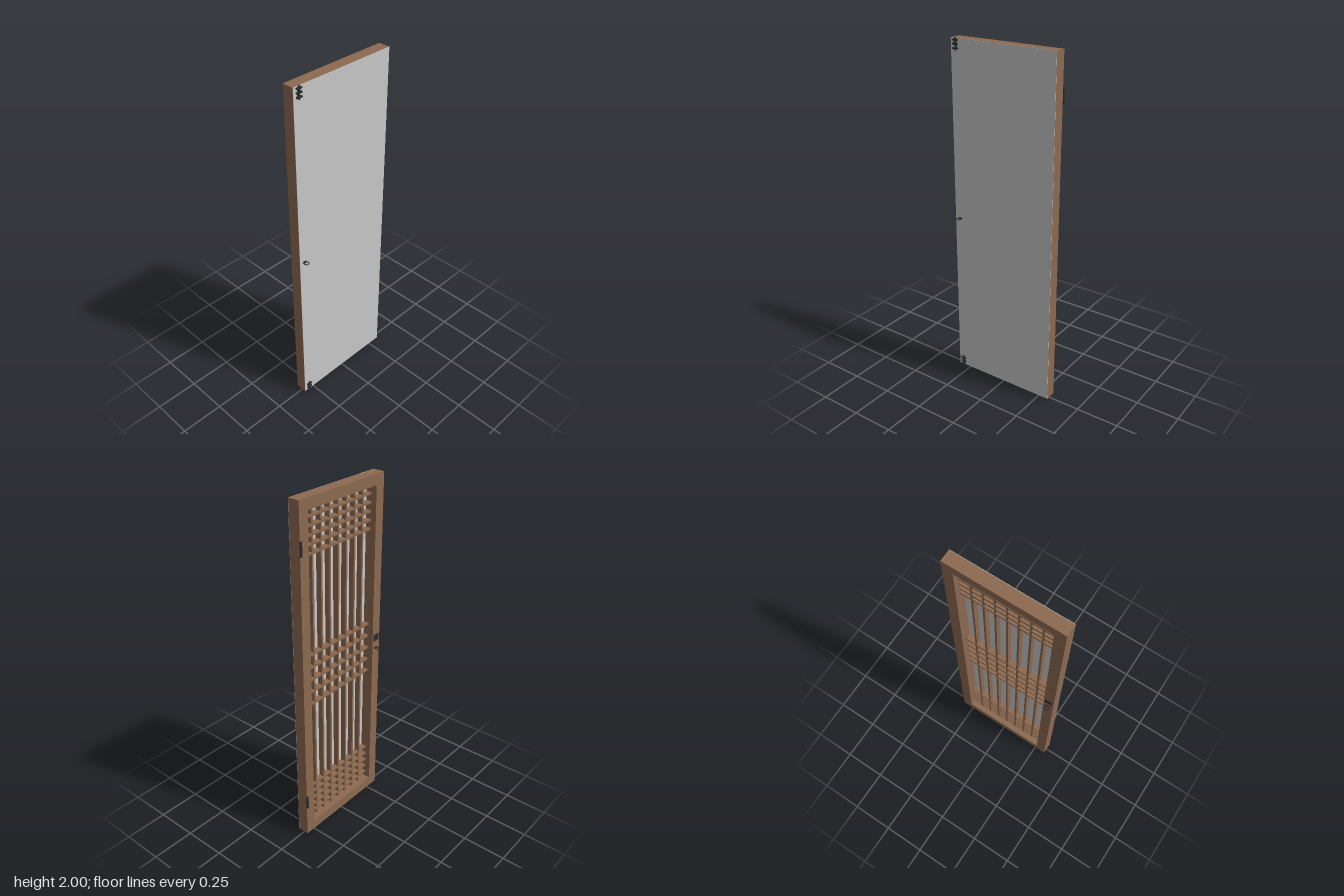
import * as THREE from 'three';

export function createModel() {
  const model = new THREE.Group();
  const mat = (name, color) => {
    const m = new THREE.MeshStandardMaterial({ color });
    m.name = name;
    return m;
  };
  const wood = mat('wood', 0x8c6a50);
  const paper = mat('paper', 0xc8c8c8);
  const iron = mat('dark iron', 0x2b3032);

  const add = (name, geo, material, x, y, z, parent = model) => {
    const mesh = new THREE.Mesh(geo, material);
    mesh.name = name;
    mesh.position.set(x, y, z);
    parent.add(mesh);
    return mesh;
  };
  // box given by its limits on each axis
  const span = (name, material, [x0, x1], [y0, y1], [z0, z1], parent) =>
    add(name, new THREE.BoxGeometry(x1 - x0, y1 - y0, z1 - z0), material,
      (x0 + x1) / 2, (y0 + y1) / 2, (z0 + z1) / 2, parent);

  const B = 0.012, T = 1.997, Z0 = -0.317, Z1 = 0.321, F = 0.06;
  const X0 = -0.034, X1 = 0.031;

  // frame: two stiles and two rails
  span('hingeStile', wood, [X0, X1], [B, T], [Z0, Z0 + F]);
  span('latchStile', wood, [X0, X1], [B, T], [Z1 - F, Z1]);
  span('bottomRail', wood, [X0, X1], [B, B + F], [Z0 + F, Z1 - F]);
  span('topRail', wood, [X0, X1], [T - F, T], [Z0 + F, Z1 - F]);

  // paper sheet covering one whole side
  span('paperSheet', paper, [X1, X1 + 0.002], [B, T], [Z0, Z1]);

  // lattice: seven uprights and three bands of crossbars
  const lattice = new THREE.Group();
  lattice.name = 'lattice';
  model.add(lattice);
  const w = 0.006, inner = Z1 - Z0 - 2 * F;
  for (let i = 1; i <= 7; i++) {
    const z = Z0 + F + (inner * i) / 8;
    span('upright', wood, [0, X1], [B + F, T - F], [z - w, z + w], lattice);
  }
  for (const [low, high] of [[0.106, 0.296], [0.845, 1.145], [1.7, 1.89]]) {
    for (let i = 0; i < 5; i++) {
      const y = low + ((high - low) * i) / 4;
      span('crossbar', wood, [-0.002, X1], [y - w, y + w], [Z0 + F, Z1 - F], lattice);
    }
  }

  // hinge barrels with end caps
  for (const y of [0.248, 1.765]) {
    add('hingeBarrel', new THREE.CylinderGeometry(0.006, 0.006, 0.076, 16), iron, -0.041, y, Z0);
    for (const s of [-1, 1]) {
      add('hingeCap', new THREE.CylinderGeometry(0.007, 0.007, 0.006, 16), iron, -0.041, y + s * 0.035, Z0);
    }
  }

  // ring pulls on both sides
  for (const s of [-1, 1]) {
    const pull = new THREE.Group();
    pull.name = 'ringPull';
    pull.position.set(s * 0.033, 0.995, 0.289);
    model.add(pull);
    const boss = add('pullBoss', new THREE.CylinderGeometry(0.007, 0.014, 0.008, 16), iron, s * 0.004, 0, 0, pull);
    boss.rotation.z = -s * Math.PI / 2;
    boss.scale.z = 1;
    boss.scale.x = 0.5;
    const ring = add('pullRing', new THREE.TorusGeometry(0.0125, 0.0025, 8, 24), iron, s * 0.0155, 0, 0, pull);
    ring.rotation.x = Math.PI / 2;
  }

  // lock plate on the lattice side
  span('lockPlate', iron, [X0 - 0.003, X0], [1.04, 1.08], [0.268, 0.31]);
  const collar = add('lockCollar', new THREE.CylinderGeometry(0.008, 0.008, 0.003, 16), iron, X0 - 0.004, 1.06, 0.289);
  collar.rotation.z = Math.PI / 2;

  // sliding bolts at the top and bottom of the paper side
  for (const [low, high] of [[0, 0.076], [1.932, 2]]) {
    const mid = (low + high) / 2;
    const bolt = new THREE.Group();
    bolt.name = 'slidingBolt';
    model.add(bolt);
    add('boltRod', new THREE.CylinderGeometry(0.0045, 0.0045, high - low, 12), iron, 0.038, mid, 0.289, bolt);
    span('boltPlate', iron, [0.033, 0.035], [mid - 0.028, mid + 0.028], [0.281, 0.297], bolt);
    for (const dy of [-0.022, 0, 0.022]) {
      span('boltBracket', iron, [0.033, 0.0435], [mid + dy - 0.004, mid + dy + 0.004], [0.273, 0.305], bolt);
    }
    const knob = add('boltKnob', new THREE.CylinderGeometry(0.005, 0.005, 0.007, 12), iron, 0.044, mid + 0.011, 0.289, bolt);
    knob.rotation.z = Math.PI / 2;
  }

  return model;
}
